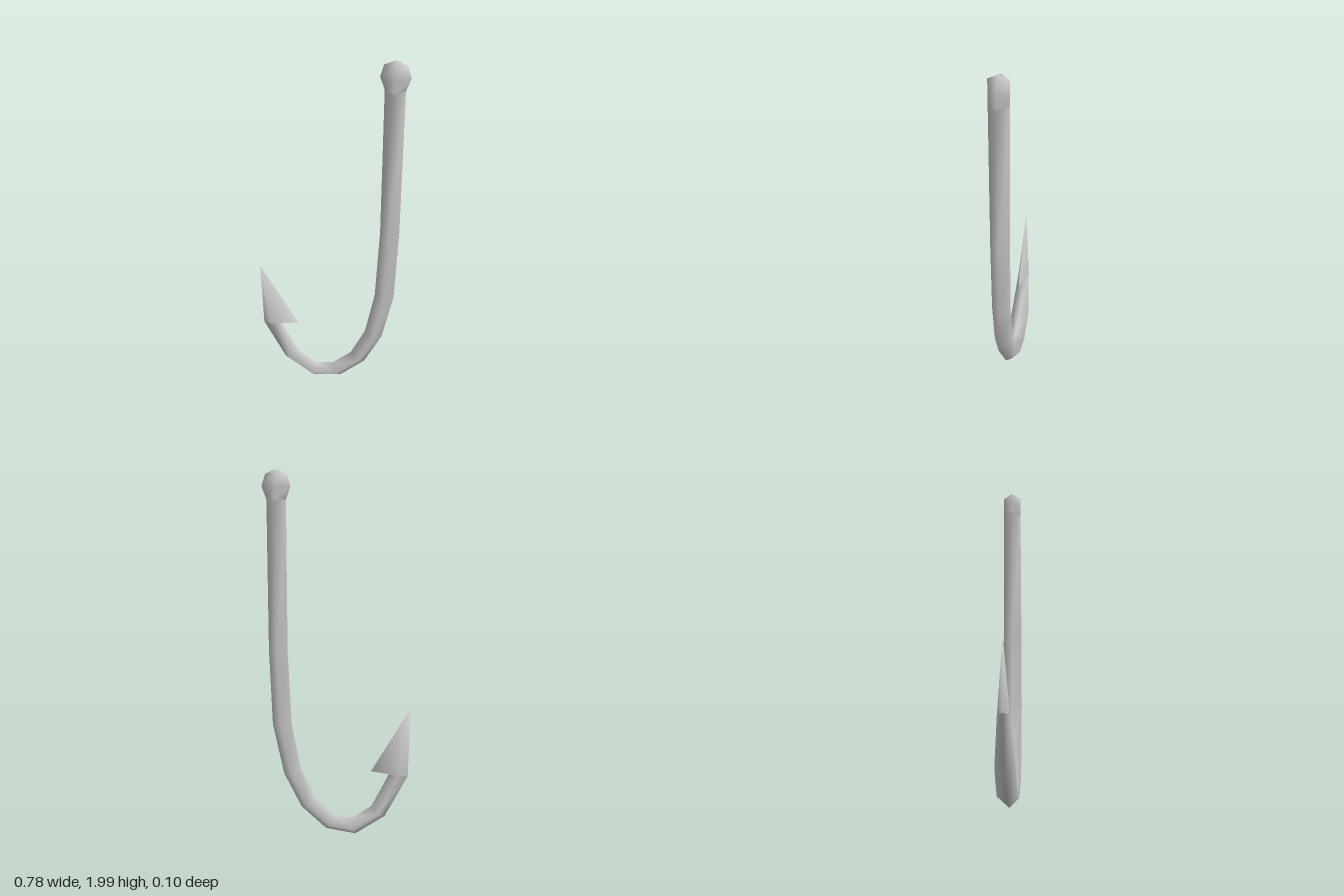
import * as THREE from 'three';
import { mergeVertices } from 'three/addons/utils/BufferGeometryUtils.js';

const material = new THREE.MeshStandardMaterial({ color: 0xcccccc });

// Diamond section: outer corner, front ridge, inner corner, back ridge.
function section([ox, oy, ix, iy, hz, mx = (ox + ix) / 2, my = (oy + iy) / 2]) {
  return [ox, oy, 0, mx, my, hz, ix, iy, 0, mx, my, -hz];
}

// Skin a row of diamond sections with smooth normals.
function loft(name, rows) {
  const index = [];
  for (let i = 0; i < rows.length - 1; i++) {
    for (let j = 0; j < 4; j++) {
      const k = (j + 1) % 4;
      const a = i * 4 + j, b = i * 4 + k, c = b + 4, d = a + 4;
      index.push(a, b, c, a, c, d);
    }
  }
  let geometry = new THREE.BufferGeometry();
  geometry.setAttribute('position', new THREE.Float32BufferAttribute(rows.flatMap(section), 3));
  geometry.setIndex(index);
  geometry = mergeVertices(geometry);
  geometry.computeVertexNormals();
  const mesh = new THREE.Mesh(geometry, material);
  mesh.name = name;
  return mesh;
}

export function createModel() {
  const hook = new THREE.Group();
  hook.name = 'fishHook';

  // Rows: outer x, y, inner x, y, half depth (and optional ridge x, y)
  const neck = [0.362, 1.85, 0.262, 1.85, 0.05];
  const barbRoot = [-0.383, 0.367, -0.285, 0.385, 0.03, -0.333, 0.38];
  const barbBase = [-0.383, 0.367, -0.182, 0.388, 0.03, -0.333, 0.38];

  // Flattened knob at the top of the shank
  hook.add(loft('knob', [
    [0.312, 2, 0.312, 2, 0],
    [0.365, 1.975, 0.255, 1.975, 0.05],
    [0.386, 1.915, 0.238, 1.915, 0.05],
    neck,
  ]));

  // Straight shank running into the bend
  hook.add(loft('shankAndBend', [
    neck,
    [0.367, 1.07, 0.267, 1.05, 0.05],
    [0.355, 0.645, 0.251, 0.645, 0.05],
    [0.298, 0.357, 0.203, 0.383, 0.05],
    [0.203, 0.161, 0.124, 0.214, 0.05],
    [0.066, 0.034, 0.018, 0.119, 0.05],
    [-0.098, 0.008, -0.082, 0.103, 0.05],
    [-0.261, 0.124, -0.188, 0.182, 0.05],
    barbRoot,
  ]));

  // Underside of the barb, then the sharp point
  hook.add(loft('barbUnderside', [barbRoot, barbBase]));
  hook.add(loft('point', [barbBase, [-0.39, 0.758, -0.39, 0.758, 0]]));
  return hook;
}
